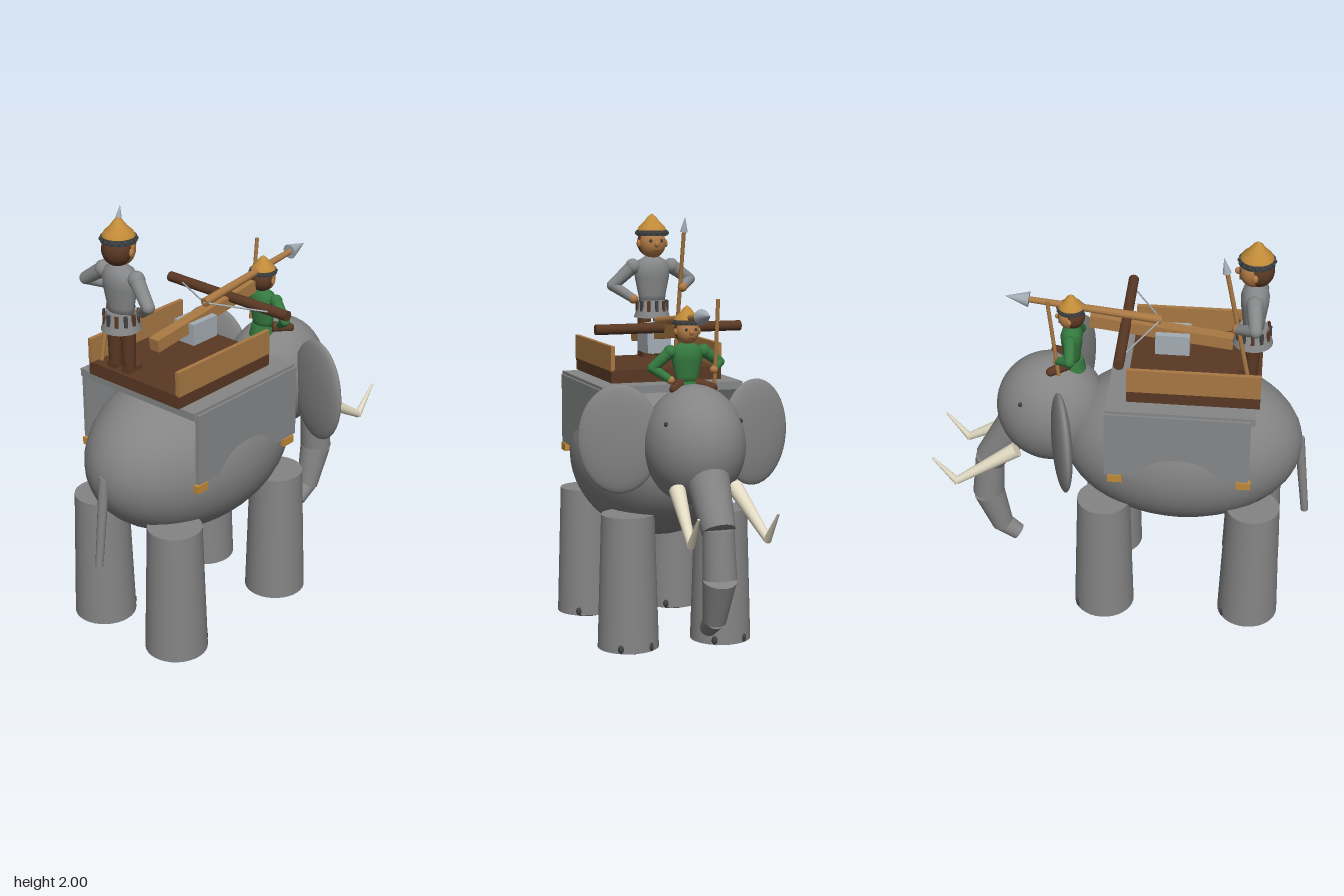
import * as THREE from 'three';

const mat = (name, color, double) => {
  const m = new THREE.MeshStandardMaterial({ color });
  m.name = name;
  if (double) m.side = THREE.DoubleSide;
  return m;
};

export function createModel() {
  const hide = mat('grey hide', 0x848484);
  const dark = mat('dark grey', 0x404244);
  const armour = mat('grey armour', 0x868788);
  const steel = mat('pale steel', 0xa4acb4);
  const wood = mat('tan wood', 0xa87843);
  const darkWood = mat('dark brown', 0x5a3824);
  const green = mat('green cloth', 0x35793f);
  const ivory = mat('ivory', 0xe2dac2);
  const gold = mat('gold', 0xc08a38);
  const skin = mat('skin', 0xb37b45);

  const root = new THREE.Group();
  root.name = 'warElephant';
  const V = (p) => new THREE.Vector3(...p);

  const add = (parent, name, geo, material, pos = [0, 0, 0], rot = [0, 0, 0]) => {
    const m = new THREE.Mesh(geo, material);
    m.name = name;
    m.position.set(...pos);
    m.rotation.set(...rot);
    parent.add(m);
    return m;
  };
  const box = (parent, name, size, material, pos, rot) =>
    add(parent, name, new THREE.BoxGeometry(...size), material, pos, rot);
  const ball = (parent, name, radii, material, pos, rot, seg = 32) => {
    const geo = new THREE.SphereGeometry(1, seg, Math.round(seg * 0.6)).scale(...radii);
    return add(parent, name, geo, material, pos, rot);
  };
  // Tapered round bar from a (radius ra) to b (radius rb)
  const bar = (parent, name, a, b, ra, rb, material, seg = 16) => {
    const A = V(a), B = V(b), d = B.clone().sub(A);
    const m = add(parent, name, new THREE.CylinderGeometry(rb, ra, d.length(), seg), material);
    m.position.copy(A).add(B).multiplyScalar(0.5);
    m.quaternion.setFromUnitVectors(new THREE.Vector3(0, 1, 0), d.normalize());
    return m;
  };
  const group = (name, parent = root) => {
    const g = new THREE.Group();
    g.name = name;
    parent.add(g);
    return g;
  };

  // Elephant body, head and tail
  const elephant = group('elephant');
  ball(elephant, 'body', [0.565, 0.385, 0.377], hide, [-0.28, 0.86, 0], [0, 0, 0], 40);
  ball(elephant, 'head', [0.26, 0.272, 0.227], hide, [0.335, 0.997, 0], [0, 0, 0], 40);
  bar(elephant, 'tail', [-0.83, 0.89, 0], [-0.88, 0.46, 0], 0.024, 0.018, hide);

  // Trunk of four straight segments
  [
    [[0.49, 0.9, 0], [0.645, 0.665, 0], 0.1, 0.076],
    [[0.645, 0.67, 0], [0.663, 0.455, 0], 0.07, 0.076],
    [[0.66, 0.45, 0], [0.6, 0.25, 0], 0.076, 0.052],
    [[0.61, 0.265, 0], [0.523, 0.2, 0], 0.05, 0.04],
  ].forEach(([a, b, ra, rb], i) => bar(elephant, 'trunkSegment' + (i + 1), a, b, ra, rb, hide, 24));

  for (const s of [1, -1]) {
    const side = s > 0 ? 'right' : 'left';
    ball(elephant, side + 'Ear', [0.04, 0.247, 0.187], hide,
      [0.247, 1.025, s * 0.325], [0, -s * 0.29, 0]);
    ball(elephant, side + 'Eye', [0.011, 0.012, 0.011], dark, [0.455, 1.115, s * 0.174], [0, 0, 0], 12);
    // Tusk: thick lower piece, then an upturned point
    bar(elephant, side + 'TuskBase', [0.49, 0.825, s * 0.135], [0.78, 0.645, s * 0.175], 0.037, 0.018, ivory);
    bar(elephant, side + 'TuskTip', [0.775, 0.64, s * 0.175], [0.885, 0.778, s * 0.18], 0.018, 0.005, ivory);

    for (const x of [-0.63, 0.07]) {
      const leg = group(side + (x > 0 ? 'FrontLeg' : 'HindLeg'), elephant);
      leg.position.set(x, 0, s * 0.23);
      add(leg, 'leg', new THREE.CylinderGeometry(0.124, 0.144, 0.632, 32), hide, [0, 0.329, 0]);
      add(leg, 'footPad', new THREE.CylinderGeometry(0.115, 0.105, 0.014, 12), dark, [0, 0.007, 0]);
      for (const a of [-0.55, 0.55])
        ball(leg, 'toenail', [0.016, 0.024, 0.016], dark,
          [0.135 * Math.cos(a), 0.034, 0.135 * Math.sin(a)], [0, 0, 0], 12);
    }
  }

  // Saddle blanket with hanging sides and gold fittings
  const blanket = group('blanket');
  box(blanket, 'blanketTop', [0.67, 0.036, 0.69], armour, [-0.285, 1.217, 0]);
  for (const s of [1, -1]) {
    box(blanket, 'blanketSide', [0.655, 0.335, 0.02], armour, [-0.275, 1.053, s * 0.345]);
    for (const x of [-0.58, 0.005])
      box(blanket, 'goldFitting', [0.066, 0.036, 0.026], gold, [x, 0.863, s * 0.344]);
  }

  // Fighting platform
  const platform = group('platform');
  box(platform, 'platformFloor', [0.595, 0.06, 0.54], darkWood, [-0.338, 1.268, 0]);
  for (const s of [1, -1])
    box(platform, 'sideBoard', [0.595, 0.115, 0.02], wood, [-0.338, 1.352, s * 0.263]);

  // Ballista
  const ballista = group('ballista');
  box(ballista, 'stock', [0.655, 0.058, 0.055], wood, [-0.175, 1.452, 0], [0, 0, 0.125]);
  box(ballista, 'mount', [0.155, 0.1, 0.115], steel, [-0.228, 1.408, 0]);
  bar(ballista, 'bow', [-0.015, 1.492, -0.355], [-0.015, 1.492, 0.355], 0.024, 0.024, darkWood, 20);
  for (const s of [1, -1])
    bar(ballista, 'bowString', [-0.03, 1.492, s * 0.27], [-0.172, 1.508, 0], 0.004, 0.004, steel, 8);
  bar(ballista, 'boltShaft', [-0.172, 1.508, 0], [0.43, 1.578, 0], 0.021, 0.014, wood);
  bar(ballista, 'boltHead', [0.425, 1.577, 0], [0.532, 1.59, 0], 0.036, 0.001, steel);

  // A figure facing +x; its origin is at the waist
  const figure = (name, cloth, pos, size) => {
    const g = group(name);
    g.position.set(...pos);
    g.scale.setScalar(size);
    const chest = [[0, -0.01], [0.062, -0.01], [0.066, 0.03], [0.083, 0.12], [0.085, 0.16],
      [0.07, 0.2], [0.035, 0.222], [0, 0.225]].map((p) => new THREE.Vector2(...p));
    add(g, 'torso', new THREE.LatheGeometry(chest, 24).scale(0.74, 1, 1.05), cloth);
    bar(g, 'neck', [0, 0.2, 0], [0, 0.25, 0], 0.03, 0.03, skin);
    ball(g, 'face', [0.066, 0.074, 0.066], skin, [0.01, 0.287, 0], [0, 0, 0], 24);
    ball(g, 'hair', [0.066, 0.073, 0.07], darkWood, [-0.012, 0.29, 0], [0, 0, 0], 24);
    ball(g, 'nose', [0.016, 0.016, 0.012], skin, [0.078, 0.283, 0], [0, 0, 0], 12);
    box(g, 'mouth', [0.008, 0.006, 0.03], darkWood, [0.068, 0.25, 0]);

    // Pointed helmet with a studded rim
    add(g, 'helmetRim', new THREE.CylinderGeometry(0.077, 0.077, 0.027, 24), dark, [0, 0.337, 0]);
    for (let i = 0; i < 16; i++) {
      const a = (i / 16) * Math.PI * 2;
      ball(g, 'rimStud', [0.008, 0.01, 0.008], dark,
        [0.077 * Math.cos(a), 0.337, 0.077 * Math.sin(a)], [0, 0, 0], 8);
    }
    const cap = [[0.073, 0.35], [0.064, 0.368], [0.038, 0.393], [0.022, 0.415], [0, 0.432]]
      .map((p) => new THREE.Vector2(...p));
    add(g, 'helmetCap', new THREE.LatheGeometry(cap, 24), gold);

    for (const s of [1, -1]) {
      ball(g, 'eye', [0.007, 0.009, 0.009], dark, [0.067, 0.3, s * 0.027], [0, 0, 0], 10);
      ball(g, 'ear', [0.014, 0.02, 0.01], skin, [0.005, 0.285, s * 0.07], [0, 0, 0], 12);
      // One hand rests on the hip, the other grips a shaft
      const shoulder = [0, 0.172, s * 0.1];
      const elbow = s > 0 ? [-0.03, 0.08, 0.195] : [-0.01, 0.105, -0.2];
      const hand = s > 0 ? [0.025, 0.015, 0.105] : [0.068, 0.07, -0.137];
      ball(g, 'shoulder', [0.038, 0.04, 0.038], cloth, shoulder, [0, 0, 0], 16);
      bar(g, 'upperArm', shoulder, elbow, 0.035, 0.029, cloth);
      ball(g, 'elbow', [0.029, 0.029, 0.029], cloth, elbow, [0, 0, 0], 16);
      bar(g, 'forearm', elbow, hand, 0.028, 0.022, cloth);
      ball(g, 'hand', [0.024, 0.024, 0.024], skin, hand, [0, 0, 0], 14);
    }
    return g;
  };

  // Standing soldier with skirt, legs and spear
  const soldier = figure('soldier', armour, [-0.587, 1.57, -0.11], 1);
  add(soldier, 'skirt', new THREE.CylinderGeometry(0.064, 0.09, 0.085, 20), armour, [0, -0.037, 0]);
  for (let i = 0; i < 12; i++) {
    const a = (i / 12) * Math.PI * 2;
    box(soldier, 'skirtStrap', [0.009, 0.052, 0.016], i % 2 ? darkWood : dark,
      [0.077 * Math.cos(a), -0.022, 0.077 * Math.sin(a)], [0, -a, 0]);
  }
  for (const s of [1, -1]) {
    bar(soldier, 'leg', [0, -0.05, s * 0.04], [0, -0.265, s * 0.043], 0.036, 0.028, darkWood);
    box(soldier, 'shoe', [0.085, 0.026, 0.05], darkWood, [0.013, -0.26, s * 0.043]);
  }
  const spear = group('spear');
  bar(spear, 'spearShaft', [-0.592, 1.3, -0.235], [-0.462, 1.93, -0.235], 0.01, 0.01, wood, 12);
  bar(spear, 'spearHead', [-0.464, 1.915, -0.235], [-0.45, 1.985, -0.235], 0.019, 0.001, steel, 12);

  // Seated rider with folded legs and a staff
  const rider = figure('rider', green, [0.235, 1.27, 0], 0.8);
  add(rider, 'tunicHem', new THREE.CylinderGeometry(0.064, 0.08, 0.07, 20), green, [0, -0.03, 0]);
  for (const s of [1, -1]) {
    bar(rider, 'thigh', [0.02, -0.01, s * 0.05], [0.11, -0.025, s * 0.115], 0.034, 0.027, darkWood);
    ball(rider, 'knee', [0.027, 0.027, 0.027], darkWood, [0.11, -0.025, s * 0.115], [0, 0, 0], 14);
  }
  bar(root, 'staff', [0.283, 1.25, -0.115], [0.325, 1.645, -0.115], 0.009, 0.009, wood, 12);

  return root;
}
